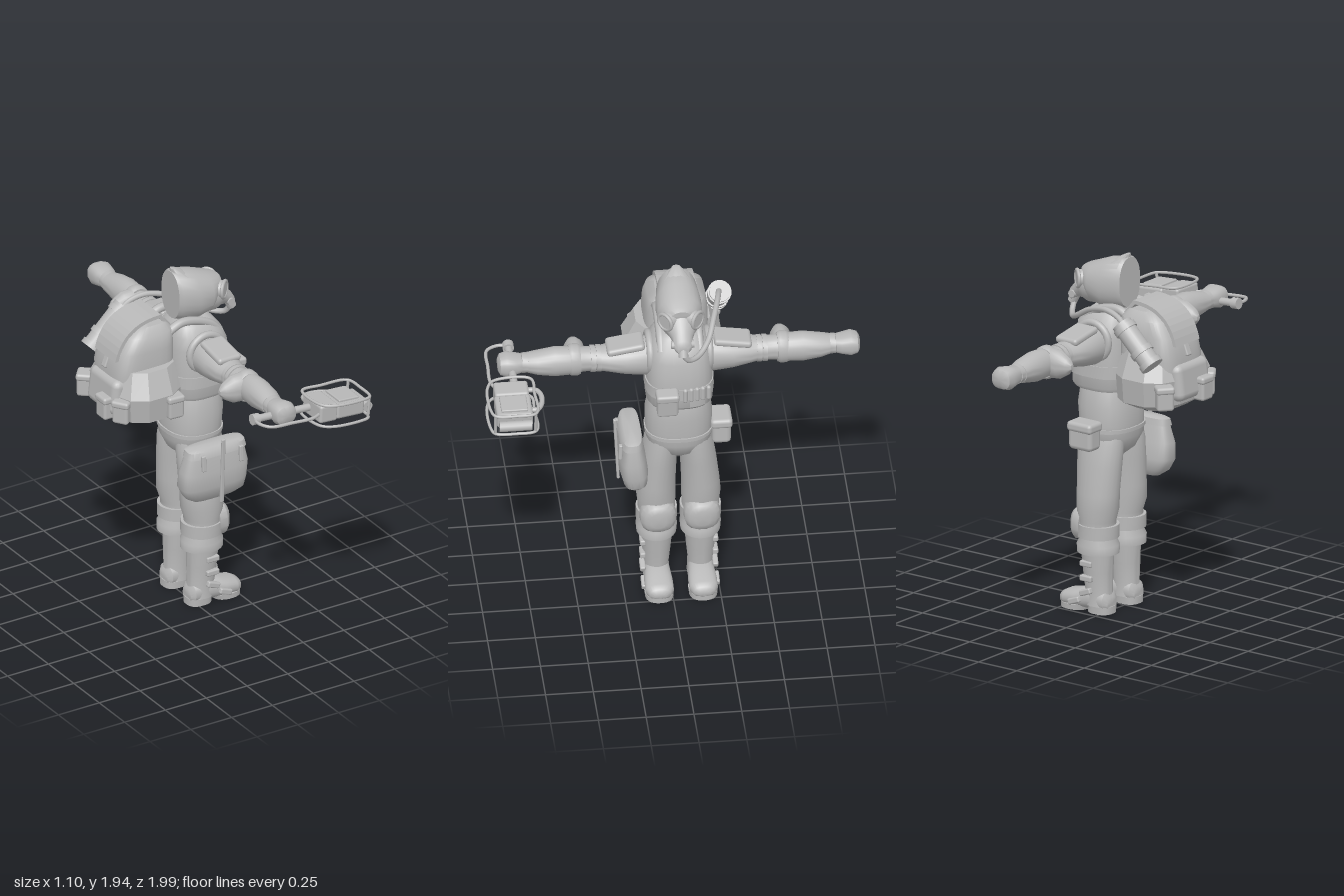
import * as THREE from 'three';
import { toCreasedNormals } from 'three/addons/utils/BufferGeometryUtils.js';
import { RoundedBoxGeometry } from 'three/addons/geometries/RoundedBoxGeometry.js';

const ZC = -0.045; // body midline; the figure looks along +x
const grey = new THREE.MeshStandardMaterial({ color: 0xb8b8b8 });
grey.name = 'plain grey';

// Closed skin over rings [y, cx, cz, rx, rz]; n is the superellipse power
function loft(rings, { n = 2, sides = 24, crease = 0.7 } = {}) {
  const pos = [], idx = [];
  const bend = (v) => Math.sign(v) * Math.abs(v) ** (2 / n);
  for (const [y, cx, cz, rx, rz] of rings) {
    for (let j = 0; j < sides; j++) {
      const a = ((j + 0.5) / sides) * Math.PI * 2;
      pos.push(cx + rx * bend(Math.cos(a)), y, cz + rz * bend(Math.sin(a)));
    }
  }
  const last = (rings.length - 1) * sides, c0 = rings.length * sides;
  for (const r of [rings[0], rings[rings.length - 1]]) pos.push(r[1], r[0], r[2]);
  for (let j = 0; j < sides; j++) {
    const k = (j + 1) % sides;
    for (let i = 0; i < last; i += sides) {
      idx.push(i + j, i + sides + j, i + k, i + sides + j, i + sides + k, i + k);
    }
    idx.push(c0, j, k, c0 + 1, last + k, last + j);
  }
  const g = new THREE.BufferGeometry();
  g.setAttribute('position', new THREE.Float32BufferAttribute(pos, 3));
  g.setIndex(idx);
  return toCreasedNormals(g, crease);
}
// Skin along x with rings [x, cy, cz, ry, rz]
const loftX = (rings, opt) =>
  loft(rings.map(([x, cy, cz, ry, rz]) => [x, -cy, cz, ry, rz]), opt).rotateZ(-Math.PI / 2);

function tube(points, r, closed = false, seg = 40) {
  const curve = new THREE.CatmullRomCurve3(points.map((p) => new THREE.Vector3(...p)), closed, 'centripetal');
  return new THREE.TubeGeometry(curve, seg, r, 8, closed);
}
const rbox = (x, y, z, r = 0.015) => new RoundedBoxGeometry(x, y, z, 2, r);

export function createModel() {
  const root = new THREE.Group();
  root.name = 'gasMaskTrooper';
  const add = (name, geo, p = [0, 0, 0], rot = [0, 0, 0], parent = root) => {
    const m = new THREE.Mesh(geo, grey);
    m.name = name;
    m.position.set(...p);
    m.rotation.set(...rot);
    parent.add(m);
    return m;
  };

  // Torso, vest, belt
  add('torso', loft([[0.83, 0.05, ZC, 0.06, 0.04], [0.88, 0.05, ZC, 0.12, 0.13], [0.95, 0.05, ZC, 0.15, 0.172],
    [1.02, 0.05, ZC, 0.15, 0.175], [1.12, 0.055, ZC, 0.155, 0.175], [1.2, 0.06, ZC, 0.14, 0.16], [1.24, 0.06, ZC, 0.13, 0.15]], { n: 2.4 }));
  add('belt', loft([[0.985, 0.05, ZC, 0.158, 0.18], [1.005, 0.05, ZC, 0.158, 0.18]], { n: 2.4 }));
  add('vest', loft([[1.21, 0.065, ZC, 0.155, 0.165], [1.23, 0.07, ZC, 0.168, 0.176], [1.35, 0.07, ZC, 0.172, 0.175],
    [1.5, 0.065, ZC, 0.165, 0.17], [1.57, 0.055, ZC, 0.145, 0.155], [1.62, 0.045, ZC, 0.115, 0.12], [1.65, 0.04, ZC, 0.08, 0.08]], { n: 2.8 }));
  add('chestBand', loft([[1.285, 0.07, ZC, 0.178, 0.181], [1.35, 0.07, ZC, 0.178, 0.18]], { n: 2.8 }));
  add('chestPouch', rbox(0.08, 0.12, 0.11), [0.27, 1.29, 0.035], [0, 0, -0.1]);
  add('chestPouchFlap', rbox(0.085, 0.045, 0.12), [0.275, 1.345, 0.035], [0, 0, -0.1]);
  for (let i = 0; i < 5; i++) {
    add('cartridge', new THREE.CapsuleGeometry(0.013, 0.06, 4, 8), [0.245 - i * 0.005, 1.315, -0.062 - i * 0.031]);
  }
  add('neck', new THREE.CylinderGeometry(0.075, 0.085, 0.12, 20), [0.04, 1.65, ZC]);

  // Hood and gas mask
  add('hood', loftX([[-0.068, 1.785, ZC, 0.135, 0.09], [-0.05, 1.785, ZC, 0.14, 0.105], [0.05, 1.765, ZC, 0.138, 0.12],
    [0.13, 1.76, ZC, 0.112, 0.118], [0.19, 1.785, ZC, 0.065, 0.085], [0.215, 1.81, ZC, 0.025, 0.045]], { n: 2.2 }));
  add('hoodPeak', loft([[1.84, 0.02, ZC, 0.085, 0.09], [1.89, -0.01, ZC, 0.055, 0.07], [1.937, -0.055, ZC, 0.012, 0.02]], { sides: 12 }));
  add('mask', loftX([[0.08, 1.74, ZC, 0.1, 0.1], [0.17, 1.735, ZC, 0.098, 0.1], [0.215, 1.725, ZC, 0.075, 0.075],
    [0.26, 1.695, ZC, 0.05, 0.052], [0.295, 1.665, ZC, 0.04, 0.046], [0.31, 1.655, ZC, 0.025, 0.03]]));
  add('mouthpiece', new THREE.CylinderGeometry(0.026, 0.026, 0.05, 16), [0.295, 1.635, ZC], [0, 0, 0.5]);
  for (const s of [1, -1]) {
    const eye = new THREE.Group();
    eye.name = 'eyepiece';
    eye.position.set(0.195, 1.775, ZC + s * 0.07);
    eye.rotation.y = Math.PI / 2 - s * 0.85;
    root.add(eye);
    add('eyeRim', new THREE.TorusGeometry(0.045, 0.01, 8, 24), [0, 0, 0.02], [0, 0, 0], eye);
    add('eyeLens', new THREE.CylinderGeometry(0.043, 0.05, 0.05, 24), [0, 0, 0], [Math.PI / 2, 0, 0], eye);
    add('maskFilter', new THREE.CylinderGeometry(0.02, 0.024, 0.03, 12), [0.27, 1.67, ZC + s * 0.045], [s * Math.PI / 2, 0, 0]);
  }

  // Breathing hose and its canister
  add('hose', tube([[0.295, 1.62, ZC], [0.285, 1.575, -0.075], [0.24, 1.565, -0.13], [0.16, 1.6, -0.19],
    [0.05, 1.66, -0.23], [-0.08, 1.69, -0.265], [-0.17, 1.67, -0.28], [-0.21, 1.64, -0.285]], 0.015));
  const can = new THREE.Group();
  can.name = 'canister';
  can.position.set(-0.3, 1.55, -0.29);
  can.rotation.z = -0.8;
  root.add(can);
  add('canisterBody', new THREE.CylinderGeometry(0.055, 0.055, 0.27, 20), [0, 0, 0], [0, 0, 0], can);
  for (const y of [-0.13, -0.05, 0.1]) {
    add('canisterRing', new THREE.CylinderGeometry(0.063, 0.063, 0.03, 20), [0, y, 0], [0, 0, 0], can);
  }

  // Backpack
  add('packBase', loft([[1.17, -0.28, ZC, 0.12, 0.16], [1.215, -0.28, ZC, 0.19, 0.25], [1.35, -0.285, ZC, 0.2, 0.265],
    [1.48, -0.27, ZC, 0.165, 0.2]], { n: 2.6, sides: 12, crease: 0.3 }));
  add('packBody', loft([[1.2, -0.27, ZC - 0.015, 0.17, 0.165], [1.45, -0.285, ZC - 0.015, 0.18, 0.17], [1.57, -0.27, ZC - 0.015, 0.165, 0.165],
    [1.65, -0.245, ZC - 0.015, 0.14, 0.15], [1.69, -0.225, ZC - 0.015, 0.09, 0.11]], { n: 4, sides: 32 }));
  add('packLowerPocket', rbox(0.14, 0.2, 0.27, 0.04), [-0.43, 1.33, ZC], [0, 0, -0.12]);
  const arch = new THREE.Shape();
  arch.moveTo(-0.46, 1.53);
  arch.quadraticCurveTo(-0.41, 1.74, -0.18, 1.735);
  arch.lineTo(-0.11, 1.65);
  arch.lineTo(-0.13, 1.65);
  arch.lineTo(-0.19, 1.715);
  arch.quadraticCurveTo(-0.39, 1.715, -0.44, 1.53);
  const archGeo = new THREE.ExtrudeGeometry(arch, { depth: 0.2, bevelEnabled: false, curveSegments: 10 });
  add('packTopFlap', archGeo, [0, 0, ZC - 0.115]);
  add('packBuckle', rbox(0.08, 0.025, 0.04, 0.008), [-0.45, 1.5, ZC - 0.015], [0, 0, 1.2]);
  for (const [x, z, a] of [[-0.5, 0.015, 0], [-0.46, -0.26, -0.7], [-0.46, 0.11, 0.6], [-0.2, 0.2, 1.5]]) {
    add('packPouch', rbox(0.075, 0.12, 0.09), [x, 1.275, z], [0, a, 0]);
    add('packPouchFlap', rbox(0.085, 0.04, 0.1), [x, 1.325, z], [0, a, 0]);
  }

  for (const s of [1, -1]) {
    // Pack straps and armholes
    const strapZ = ZC + s * 0.1;
    add('packStrap', tube([[-0.16, 1.62, strapZ], [-0.07, 1.66, strapZ], [0.02, 1.65, strapZ], [0.11, 1.61, strapZ], [0.17, 1.55, strapZ]], 0.024));
    add('armhole', new THREE.TorusGeometry(0.1, 0.02, 10, 28), [0.055, 1.48, ZC + s * 0.155]);

    // Arms, running out along z
    const arm = new THREE.Group();
    arm.name = s > 0 ? 'rightArm' : 'leftArm';
    arm.position.set(0, 1.46, ZC);
    root.add(arm);
    const along = (name, rings, opt) => add(name, loft(rings.map(([d, cx, rx, ry]) => [d, cx, 0, rx, ry]), opt).rotateX(s * Math.PI / 2), [0, 0, 0], [0, 0, 0], arm);
    along('sleeve', [[0.08, 0.055, 0.09, 0.1], [0.18, 0.06, 0.1, 0.105], [0.28, 0.06, 0.1, 0.09], [0.37, 0.06, 0.085, 0.07],
      [0.43, 0.06, 0.065, 0.063], [0.5, 0.06, 0.063, 0.068], [0.57, 0.065, 0.07, 0.078], [0.65, 0.065, 0.072, 0.082],
      [0.74, 0.065, 0.068, 0.065], [0.79, 0.06, 0.06, 0.052]]);
    along('sleeveCuff', [[0.785, 0.06, 0.04, 0.04], [0.79, 0.06, 0.055, 0.053], [0.82, 0.06, 0.055, 0.053], [0.825, 0.06, 0.04, 0.04]]);
    along('glove', [[0.8, 0.06, 0.045, 0.04], [0.85, 0.062, 0.06, 0.05], [0.9, 0.062, 0.066, 0.062], [0.935, 0.062, 0.058, 0.05], [0.947, 0.062, 0.035, 0.03]], { n: 2.6 });
    for (const d of [0.42, 0.45]) along('armBand', [[d - 0.012, 0.06, 0.073, 0.071], [d + 0.012, 0.06, 0.073, 0.071]]);
    along('elbowStrap', [[0.515, 0.06, 0.072, 0.08], [0.53, 0.06, 0.075, 0.09], [0.56, 0.06, 0.075, 0.09], [0.575, 0.06, 0.072, 0.08]]);
    add('elbowPad', loftX([[-0.105, 0, 0, 0.015, 0.012], [-0.08, 0, 0, 0.045, 0.035], [-0.03, 0, 0, 0.075, 0.055], [0.03, 0, 0, 0.08, 0.055]]), [0, 0, s * 0.54], [0, 0, 0], arm);
    add('shoulderPlate', rbox(0.14, 0.04, 0.2, 0.018), [0.065, 0.082, s * 0.28], [s * 0.16, 0, 0], arm);

    // Trousers and knee pads
    const leg = new THREE.Group();
    leg.name = s > 0 ? 'rightLeg' : 'leftLeg';
    leg.position.z = ZC + s * 0.115;
    root.add(leg);
    const part = (name, geo, p, rot) => add(name, geo, p, rot, leg);
    part('trouserLeg', loft([[0.32, 0.05, 0, 0.08, 0.08], [0.325, 0.05, 0, 0.115, 0.105], [0.37, 0.05, 0, 0.115, 0.108], [0.405, 0.05, 0, 0.095, 0.095],
      [0.5, 0.055, 0, 0.1, 0.098], [0.57, 0.05, s * 0.003, 0.118, 0.103], [0.65, 0.05, 0, 0.12, 0.1], [0.8, 0.05, -s * 0.012, 0.13, 0.094],
      [0.92, 0.05, -s * 0.025, 0.135, 0.088], [0.98, 0.05, -s * 0.035, 0.13, 0.08]]));
    part('kneeStrap', loft([[0.41, 0.05, 0, 0.112, 0.108], [0.48, 0.05, 0, 0.112, 0.108]]));
    part('kneePad', loftX([[0.11, 0.47, 0, 0.09, 0.095], [0.155, 0.47, 0, 0.092, 0.092], [0.18, 0.47, 0, 0.075, 0.07], [0.19, 0.47, 0, 0.045, 0.04]], { n: 2.5, sides: 16 }));

    // Boots
    part('bootShaft', loft([[0.04, 0.04, 0, 0.08, 0.07], [0.12, 0.045, 0, 0.075, 0.065], [0.22, 0.05, 0, 0.082, 0.075], [0.34, 0.055, 0, 0.088, 0.085]]));
    part('bootFoot', loftX([[-0.04, 0.055, 0, 0.035, 0.04], [-0.02, 0.065, 0, 0.055, 0.062], [0.08, 0.075, 0, 0.065, 0.068],
      [0.16, 0.06, 0, 0.05, 0.075], [0.23, 0.052, 0, 0.043, 0.074], [0.26, 0.048, 0, 0.032, 0.055], [0.272, 0.045, 0, 0.015, 0.03]], { n: 2.4 }));
    part('bootHeel', loft([[0, 0.025, 0, 0.07, 0.064], [0.04, 0.025, 0, 0.07, 0.066]], { n: 2.6 }));
    part('bootSole', loft([[0, 0.19, 0, 0.08, 0.074], [0.03, 0.185, 0, 0.085, 0.077]], { n: 2.4 }));
    for (const [x, y] of [[0.07, 0.27], [0.07, 0.19], [0.075, 0.115], [0.15, 0.055]]) {
      part('bootBuckle', rbox(0.075, 0.032, 0.03, 0.008), [x, y, s * 0.075], [0, 0, y < 0.15 ? -0.35 : 0]);
    }
  }

  // Hip bag with strap, and small belt pouch
  const bag = new THREE.Group();
  bag.name = 'hipBag';
  bag.position.set(0.05, 0.83, 0.2);
  bag.rotation.x = 0.1;
  root.add(bag);
  add('hipBagBody', loft([[-0.155, 0, 0, 0.13, 0.035], [-0.12, -0.005, 0, 0.175, 0.065], [-0.06, -0.015, 0, 0.195, 0.075],
    [0.03, -0.01, 0, 0.195, 0.07], [0.15, -0.005, -0.01, 0.165, 0.045]], { n: 3.5, sides: 32 }), [0, 0, 0], [0, 0, 0], bag);
  add('hipBagFlap', loft([[0.12, -0.005, -0.005, 0.18, 0.06], [0.155, -0.005, -0.01, 0.172, 0.052], [0.165, -0.005, -0.01, 0.15, 0.035]], { n: 3.5, sides: 32 }), [0, 0, 0], [0, 0, 0], bag);
  for (const x of [-0.11, 0.12]) add('hipBagBuckle', rbox(0.025, 0.09, 0.02, 0.006), [x, 0.1, 0.06], [-0.15, 0, 0], bag);
  add('hipBagStrap', rbox(0.022, 0.38, 0.016, 0.006), [0, 0.035, 0.075], [-0.05, 0, 0], bag);
  add('beltPouch', rbox(0.15, 0.13, 0.1, 0.025), [0.06, 0.97, -0.265]);
  add('beltPouchFlap', rbox(0.16, 0.055, 0.115, 0.02), [0.06, 1.03, -0.265]);

  // Hand-held boxed device on a rod, wrapped in a wire frame
  const device = new THREE.Group();
  device.name = 'handDevice';
  device.position.set(0.06, 1.445, 0.83);
  device.rotation.z = -0.07;
  root.add(device);
  const dev = (name, geo, p, rot) => add(name, geo, p, rot, device);
  dev('deviceRod', new THREE.CylinderGeometry(0.02, 0.02, 0.36, 14), [0.01, 0, 0], [0, 0, Math.PI / 2]);
  dev('rodEnd', new THREE.CylinderGeometry(0.03, 0.03, 0.04, 14), [-0.155, 0, 0], [0, 0, Math.PI / 2]);
  dev('deviceBack', rbox(0.11, 0.1, 0.18), [0.23, 0, 0.025]);
  dev('deviceBox', rbox(0.17, 0.085, 0.19), [0.36, 0, 0.025]);
  dev('devicePanel', rbox(0.12, 0.02, 0.14, 0.006), [0.36, 0.045, 0.025]);
  dev('frontGrip', new THREE.CylinderGeometry(0.028, 0.028, 0.17, 14), [0.47, -0.01, 0.025], [Math.PI / 2, 0, 0]);
  dev('guardRail', tube([[-0.165, 0, 0.02], [-0.165, 0, 0.06], [-0.13, 0, 0.115], [0, 0, 0.122], [0.12, 0, 0.122], [0.17, 0, 0.1], [0.22, 0, 0.06]], 0.009));
  for (const y of [0.06, -0.06]) {
    dev('wireFrame', tube([[0.18, y, -0.08], [0.3, y, -0.09], [0.46, y, -0.085], [0.475, y, 0.02], [0.465, y, 0.13],
      [0.42, y, 0.15], [0.24, y, 0.15], [0.18, y, 0.11]], 0.008, true, 64));
    for (const z of [-0.08, 0.13]) dev('framePost', new THREE.CylinderGeometry(0.008, 0.008, 0.12, 8), [0.462, 0, z]);
  }
  dev('sideHandle', tube([[0.2, 0, -0.06], [0.21, 0, -0.11], [0.25, 0, -0.13], [0.32, 0, -0.125], [0.36, 0, -0.1], [0.36, 0, -0.06]], 0.014));

  return root;
}
